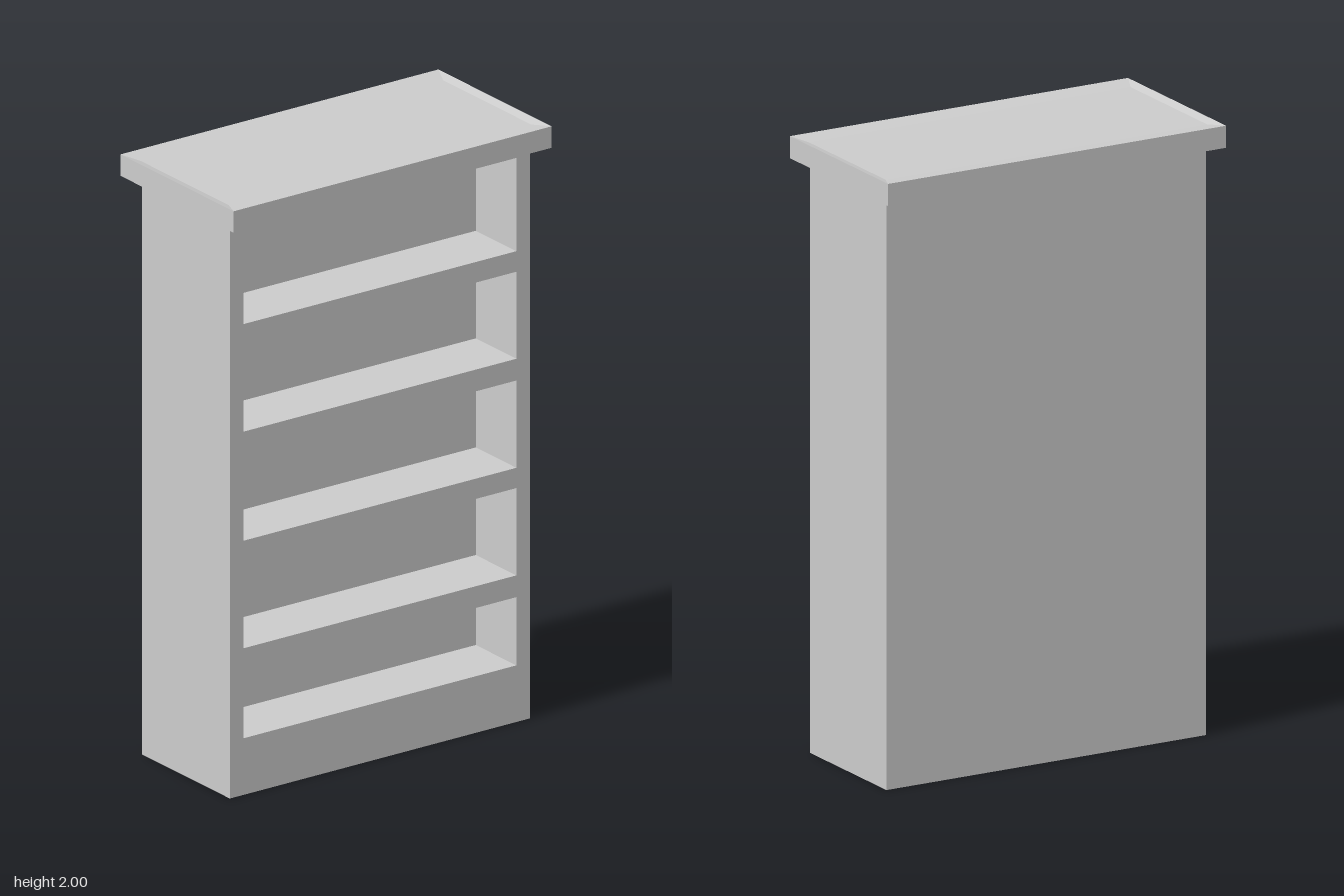
import * as THREE from 'three';

const HALF_W = 0.58, HALF_D = 0.233, BODY_H = 1.93;
const RECESS = 0.215;

// Rectangular ring of four corners at height y
const ring = (x, y, z) => [[-x, y, z], [x, y, z], [x, y, -z], [-x, y, -z]];

// Closed solid through a stack of rectangular rings, flat faces
function ringSolid(rings) {
  const pos = [];
  const quad = (a, b, c, d) => pos.push(...a, ...b, ...c, ...a, ...c, ...d);
  for (let r = 0; r < rings.length - 1; r++) {
    for (let i = 0; i < 4; i++) {
      const j = (i + 1) % 4;
      quad(rings[r][i], rings[r][j], rings[r + 1][j], rings[r + 1][i]);
    }
  }
  const base = rings[0], top = rings[rings.length - 1];
  quad(base[3], base[2], base[1], base[0]);
  quad(top[0], top[1], top[2], top[3]);
  const geo = new THREE.BufferGeometry();
  geo.setAttribute('position', new THREE.Float32BufferAttribute(pos, 3));
  geo.computeVertexNormals();
  return geo;
}

export function createModel() {
  const group = new THREE.Group();
  const grey = new THREE.MeshStandardMaterial({ color: 0xcccccc });
  grey.name = 'grey';

  const add = (name, geo, y = 0, z = 0) => {
    const mesh = new THREE.Mesh(geo, grey);
    mesh.name = name;
    mesh.position.set(0, y, z);
    group.add(mesh);
  };

  // Front half of the case, pierced by the shelf openings
  const face = new THREE.Shape([
    new THREE.Vector2(-HALF_W, 0), new THREE.Vector2(HALF_W, 0),
    new THREE.Vector2(HALF_W, BODY_H), new THREE.Vector2(-HALF_W, BODY_H),
  ]);
  const openX = 0.527;
  const openings = [[0.19, 0.419], [0.492, 0.785], [0.853, 1.146], [1.219, 1.511], [1.58, 1.893]];
  for (const [low, high] of openings) {
    face.holes.push(new THREE.Path([
      new THREE.Vector2(-openX, low), new THREE.Vector2(-openX, high),
      new THREE.Vector2(openX, high), new THREE.Vector2(openX, low),
    ]));
  }
  add('shelfFrame', new THREE.ExtrudeGeometry(face, { depth: RECESS, bevelEnabled: false }),
    0, HALF_D - RECESS);

  // Solid back half behind the shelves
  const backDepth = 2 * HALF_D - RECESS;
  add('backPanel', new THREE.BoxGeometry(2 * HALF_W, BODY_H, backDepth),
    BODY_H / 2, -HALF_D + backDepth / 2);

  // Overhanging top with a slightly dished upper surface
  add('topSlab', ringSolid([
    ring(0.614, 1.928, 0.3),
    ring(0.614, 2, 0.3),
    ring(0.584, 1.992, 0.233),
  ]));

  return group;
}
